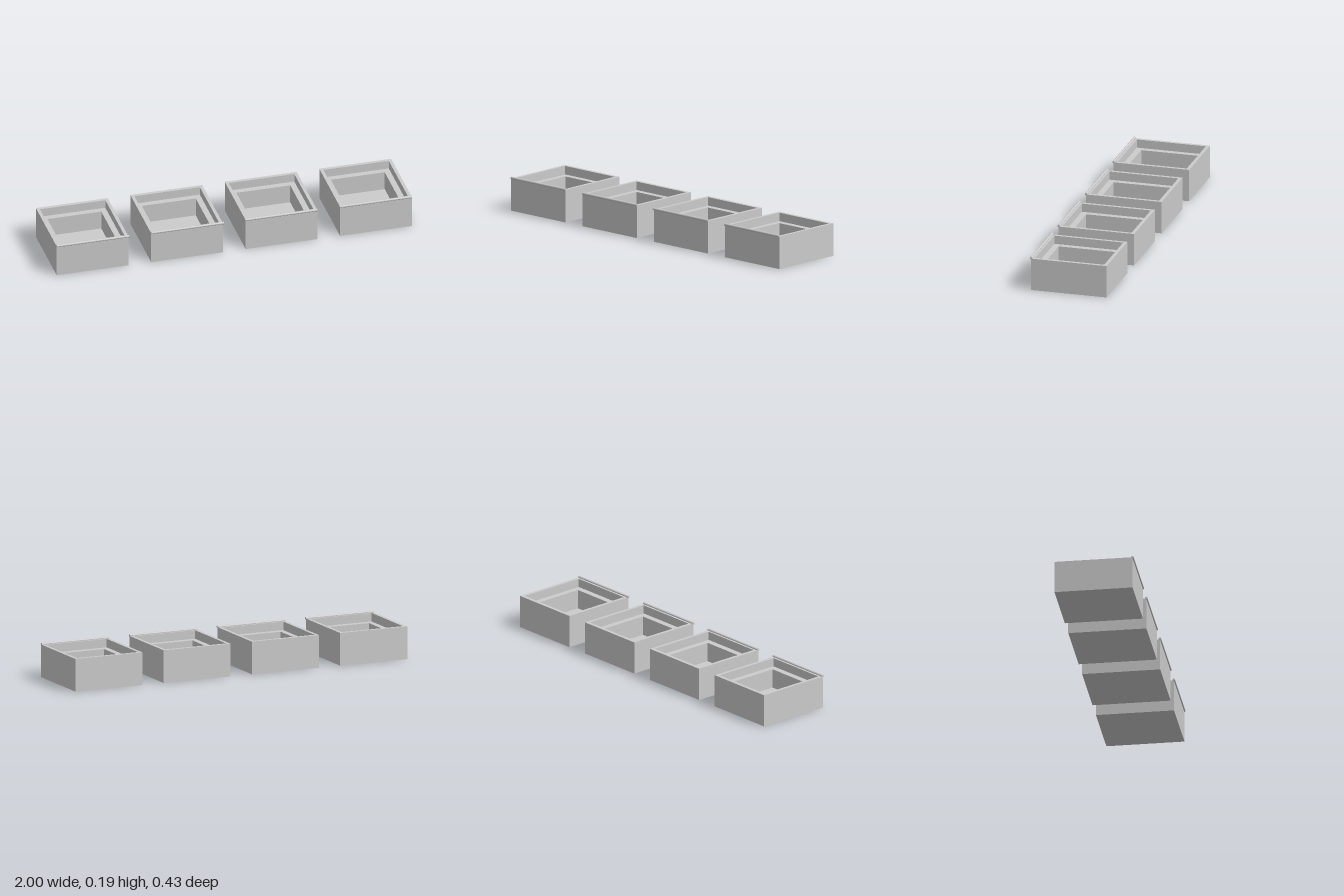
import * as THREE from 'three';

const material = new THREE.MeshStandardMaterial({ color: 0xcccccc, flatShading: true });
const smoothMaterial = new THREE.MeshStandardMaterial({ color: 0xcccccc });

const COUNT = 4, PITCH = 0.5315, WIDTH = 0.404, DEPTH = 0.428, HEIGHT = 0.181;
const FRONT = 0.212;

// Four-sided lathe: [half-size as a share of the outer half-size, height]
function trayGeometry() {
  const profile = [
    [0, 0], [1, 0],               // underside
    [1, HEIGHT],                  // outer walls
    [0.91, HEIGHT],               // rim
    [0.91, 0.134], [0.75, 0.134], // recessed ledge
    [0.75, 0.028], [0, 0.028],    // well and its floor
  ].map(([r, y]) => new THREE.Vector2(r * Math.SQRT2, y));
  const g = new THREE.LatheGeometry(profile, 4)
    .rotateY(Math.PI / 4)
    .scale(WIDTH / 2, 1, DEPTH / 2)
    .toNonIndexed();
  g.computeVertexNormals();
  return g;
}

export function createModel() {
  const model = new THREE.Group();
  model.name = 'trayRow';
  const tray = trayGeometry();
  const rod = new THREE.CylinderGeometry(0.007, 0.007, 0.407, 24).rotateZ(Math.PI / 2);

  for (let i = 0; i < COUNT; i++) {
    const unit = new THREE.Group();
    unit.name = `tray${i + 1}`;
    unit.position.x = (i - (COUNT - 1) / 2) * PITCH;

    const body = new THREE.Mesh(tray, material);
    body.name = 'trayBody';
    body.position.z = FRONT - DEPTH / 2;

    // Round bead along the front top edge, lying slightly towards the centre
    const bead = new THREE.Mesh(rod, smoothMaterial);
    bead.name = 'frontBead';
    bead.position.set(-Math.sign(unit.position.x) * 0.002, 0.183, 0.211);

    unit.add(body, bead);
    model.add(unit);
  }
  return model;
}
